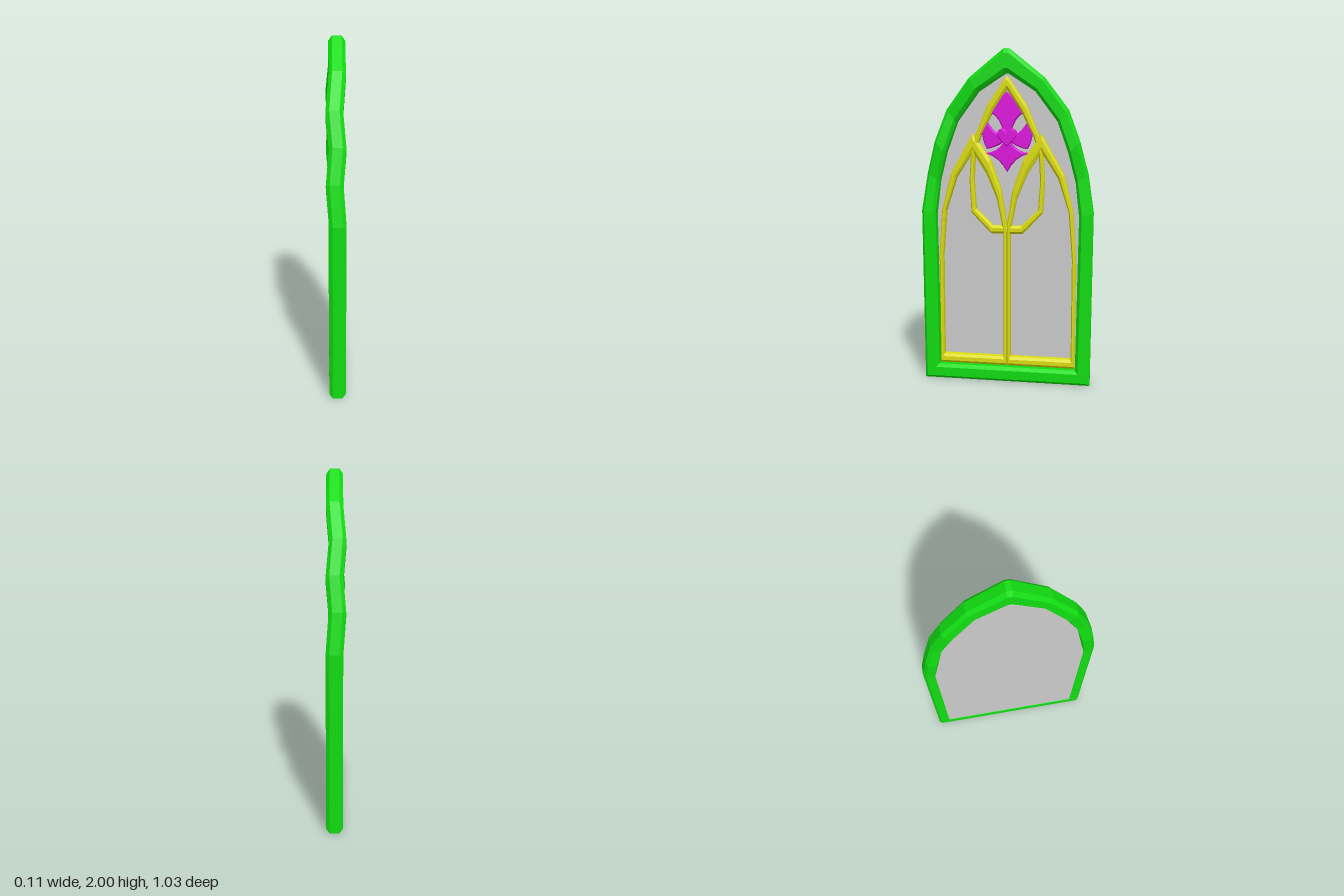
import * as THREE from 'three';

const material = (color, side = THREE.FrontSide) =>
  new THREE.MeshStandardMaterial({ color, flatShading: true, side });
const GREEN = material(0x11dd11);
const YELLOW = material(0xdddd11);
const MAGENTA = material(0xdd11dd);
const GREY = material(0xcccccc, THREE.DoubleSide);

// Points are [u, y, dx]: u runs toward -z, dx is an optional shift in depth.
const mirror = (pts) => pts.map(([u, ...rest]) => [-u, ...rest]).reverse();
const symmetric = (half) => [...half, ...mirror(half)];

// Closed moulding between an outer and an inner outline, with a chamfered section
function moulding(name, outer, inner, back, front, t, c, mat) {
  const section = [
    [1 - t, front], [1, front - c], [1, back + c], [1 - t, back],
    [t, back], [0, back + c], [0, front - c], [t, front],
  ];
  const n = outer.length, m = section.length, pos = [], idx = [];
  for (let i = 0; i < n; i++) {
    const [u1, y1, dx = 0] = outer[i], [u0, y0] = inner[i];
    for (const [k, x] of section) pos.push(x + dx, y0 + (y1 - y0) * k, -(u0 + (u1 - u0) * k));
    for (let j = 0; j < m; j++) {
      const i2 = (i + 1) % n, j2 = (j + 1) % m;
      const a = i * m + j, b = i * m + j2, d = i2 * m + j, e = i2 * m + j2;
      idx.push(a, b, e, a, e, d);
    }
  }
  const indexed = new THREE.BufferGeometry();
  indexed.setAttribute('position', new THREE.Float32BufferAttribute(pos, 3));
  indexed.setIndex(idx);
  const geo = indexed.toNonIndexed();
  geo.computeVertexNormals();
  const mesh = new THREE.Mesh(geo, mat);
  mesh.name = name;
  return mesh;
}

// Flat plate facing +x
function plate(name, shape, back, depth, bevel, mat) {
  const geo = new THREE.ExtrudeGeometry(shape, {
    depth, curveSegments: 4, bevelEnabled: bevel > 0,
    bevelSize: bevel, bevelOffset: -bevel, bevelThickness: bevel, bevelSegments: 1,
  });
  geo.translate(0, 0, back).rotateY(Math.PI / 2);
  const mesh = new THREE.Mesh(geo, mat);
  mesh.name = name;
  return mesh;
}

// Shape from a start point and quadratic curves [controlU, controlY, u, y]
function curvedShape(start, curves) {
  const s = new THREE.Shape();
  s.moveTo(...start);
  for (const q of curves) s.quadraticCurveTo(...q);
  return s;
}

export function createModel() {
  const group = new THREE.Group();
  group.name = 'archedWindow';

  // Outer frame, rippling in depth along the arch
  const frameOuter = symmetric([
    [0.508, 0], [0.515, 1.05], [0.48, 1.275, -0.016], [0.43, 1.465],
    [0.36, 1.65, -0.017], [0.22, 1.835], [0.015, 2],
  ]);
  const frameInner = symmetric([
    [0.42, 0.09], [0.432, 1.03], [0.408, 1.23], [0.365, 1.4],
    [0.3, 1.58], [0.17, 1.755], [0.008, 1.86],
  ]);
  group.add(moulding('frame', frameOuter, frameInner, -0.04, 0.055, 0.2, 0.02, GREEN));

  // Glass pane set into the back of the frame
  const pane = frameInner.map(([u, y]) =>
    new THREE.Vector2(u * 1.04, 0.9 + (y - 0.9) * 1.015));
  group.add(plate('glass', new THREE.Shape(pane), -0.038, 0.014, 0, GREY));

  // Two lancet traceries sharing the middle bar
  const lancetOuter = [
    [0.415, 0.095], [0.415, 0.77], [0.395, 1.05], [0.34, 1.27], [0.205, 1.51],
    [0.1, 1.36], [0.035, 1.18], [0, 0.96], [0, 0.095],
  ];
  const lancetInner = [
    [0.392, 0.15], [0.392, 0.77], [0.37, 1.05], [0.305, 1.25], [0.205, 1.405],
    [0.12, 1.27], [0.058, 1.12], [0.02, 0.93], [0.02, 0.15],
  ];
  group.add(moulding('rightLancet', lancetOuter, lancetInner, -0.03, 0.028, 0.28, 0.012, YELLOW));
  group.add(moulding('leftLancet', mirror(lancetOuter), mirror(lancetInner), -0.03, 0.028, 0.28, 0.012, YELLOW));

  // Long pointed loop crossing both lancets
  const loopOuter = symmetric([
    [0.095, 0.915], [0.215, 1.04], [0.226, 1.23], [0.215, 1.4],
    [0.19, 1.5], [0.12, 1.67], [0.006, 1.84],
  ]);
  const loopInner = symmetric([
    [0.085, 0.962], [0.187, 1.06], [0.199, 1.23], [0.19, 1.4],
    [0.155, 1.5], [0.085, 1.64], [0.004, 1.765],
  ]);
  group.add(moulding('pointedLoop', loopOuter, loopInner, -0.03, 0.024, 0.28, 0.012, YELLOW));

  // Four-petalled flower in the head of the loop
  const flower = new THREE.Group();
  flower.name = 'flower';
  const petal = (name, start, curves) =>
    flower.add(plate(name, curvedShape(start, curves), -0.025, 0.03, 0.006, MAGENTA));
  petal('topPetal', [0, 1.755], [
    [-0.06, 1.71, -0.105, 1.635], [-0.035, 1.61, -0.02, 1.5],
    [0, 1.48, 0.02, 1.5], [0.035, 1.61, 0.105, 1.635], [0.06, 1.71, 0, 1.755],
  ]);
  petal('bottomPetal', [0, 1.285], [
    [0.04, 1.37, 0.13, 1.395], [0.06, 1.4, 0.02, 1.46],
    [0, 1.48, -0.02, 1.46], [-0.06, 1.4, -0.13, 1.395], [-0.04, 1.37, 0, 1.285],
  ]);
  for (const s of [1, -1]) {
    petal(s > 0 ? 'rightPetal' : 'leftPetal', [s * 0.01, 1.49], [
      [s * 0.1, 1.51, s * 0.135, 1.615], [s * 0.16, 1.54, s * 0.148, 1.5],
      [s * 0.14, 1.45, s * 0.12, 1.42], [s * 0.06, 1.43, s * 0.01, 1.47],
    ]);
  }
  // Raised heart at the middle
  const heart = curvedShape([0, 1.435], [
    [-0.035, 1.46, -0.06, 1.5], [-0.055, 1.545, -0.025, 1.54],
    [-0.01, 1.535, 0, 1.51], [0.01, 1.535, 0.025, 1.54],
    [0.055, 1.545, 0.06, 1.5], [0.035, 1.46, 0, 1.435],
  ]);
  flower.add(plate('flowerHeart', heart, -0.02, 0.032, 0.006, MAGENTA));
  group.add(flower);

  return group;
}
